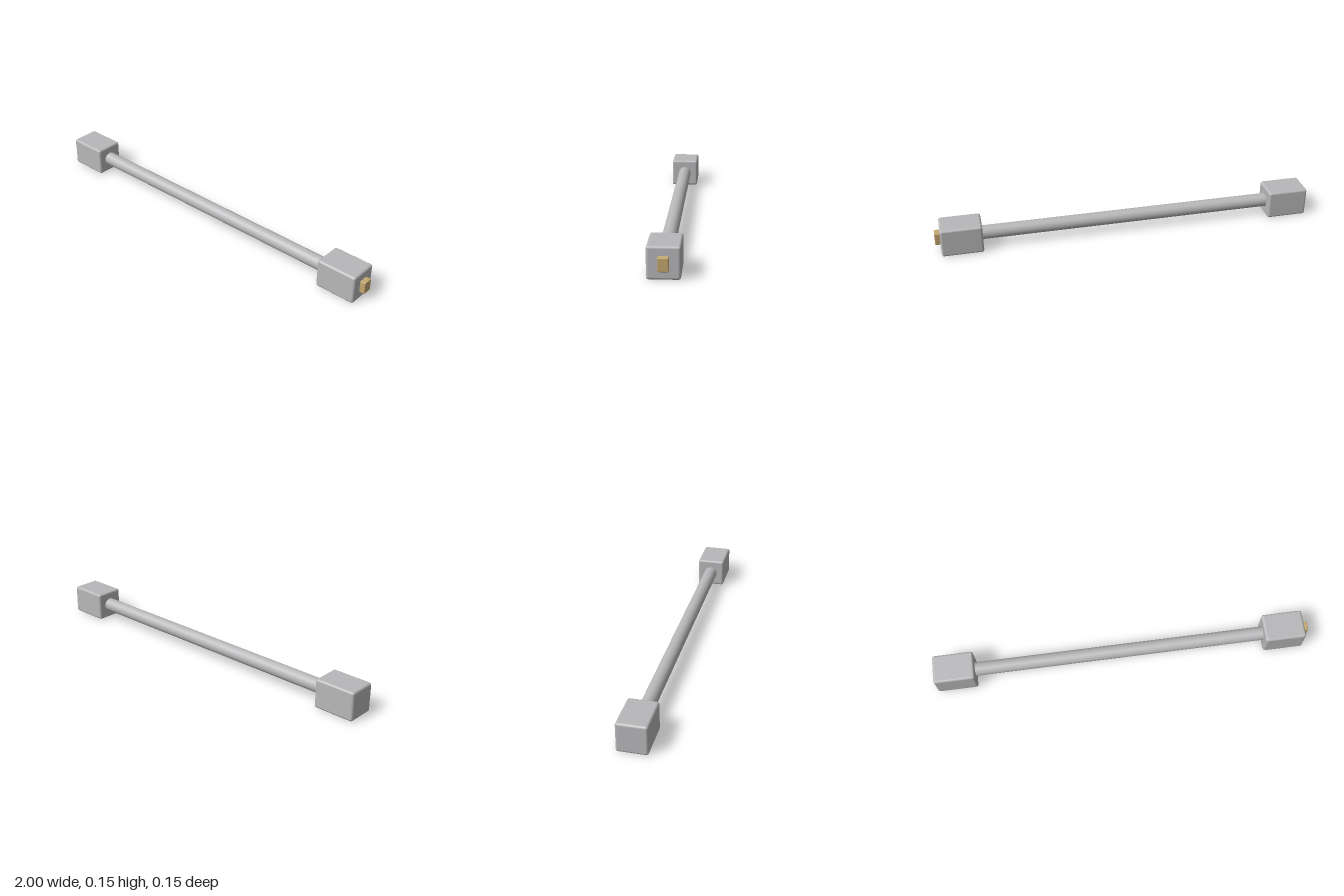
import * as THREE from 'three';
import { RoundedBoxGeometry } from 'three/addons/geometries/RoundedBoxGeometry.js';

export function createModel() {
  const steel = new THREE.MeshStandardMaterial({ color: 0xb8b8ba });
  steel.name = 'brushed steel';
  const brass = new THREE.MeshStandardMaterial({ color: 0xc4a870 });
  brass.name = 'brass';

  const model = new THREE.Group();
  model.name = 'barWithEndBlocks';
  const midY = 0.076;

  const add = (name, geometry, material, x, y = midY) => {
    const mesh = new THREE.Mesh(geometry, material);
    mesh.name = name;
    mesh.position.set(x, y, 0);
    model.add(mesh);
    return mesh;
  };

  // Softly rounded blocks at both ends
  const block = new RoundedBoxGeometry(0.215, 0.152, 0.152, 3, 0.012);
  add('rightEndBlock', block, steel, -0.8925);
  add('leftEndBlock', block, steel, 0.8645);

  // Round bar, its ends sunk into the blocks
  const bar = add('bar', new THREE.CylinderGeometry(0.036, 0.036, 1.58, 32), steel, -0.014);
  bar.rotation.z = Math.PI / 2;

  // Small button on the outer face of the left block
  add('button', new RoundedBoxGeometry(0.05, 0.064, 0.05, 2, 0.004), brass, 0.975, 0.077);

  return model;
}
